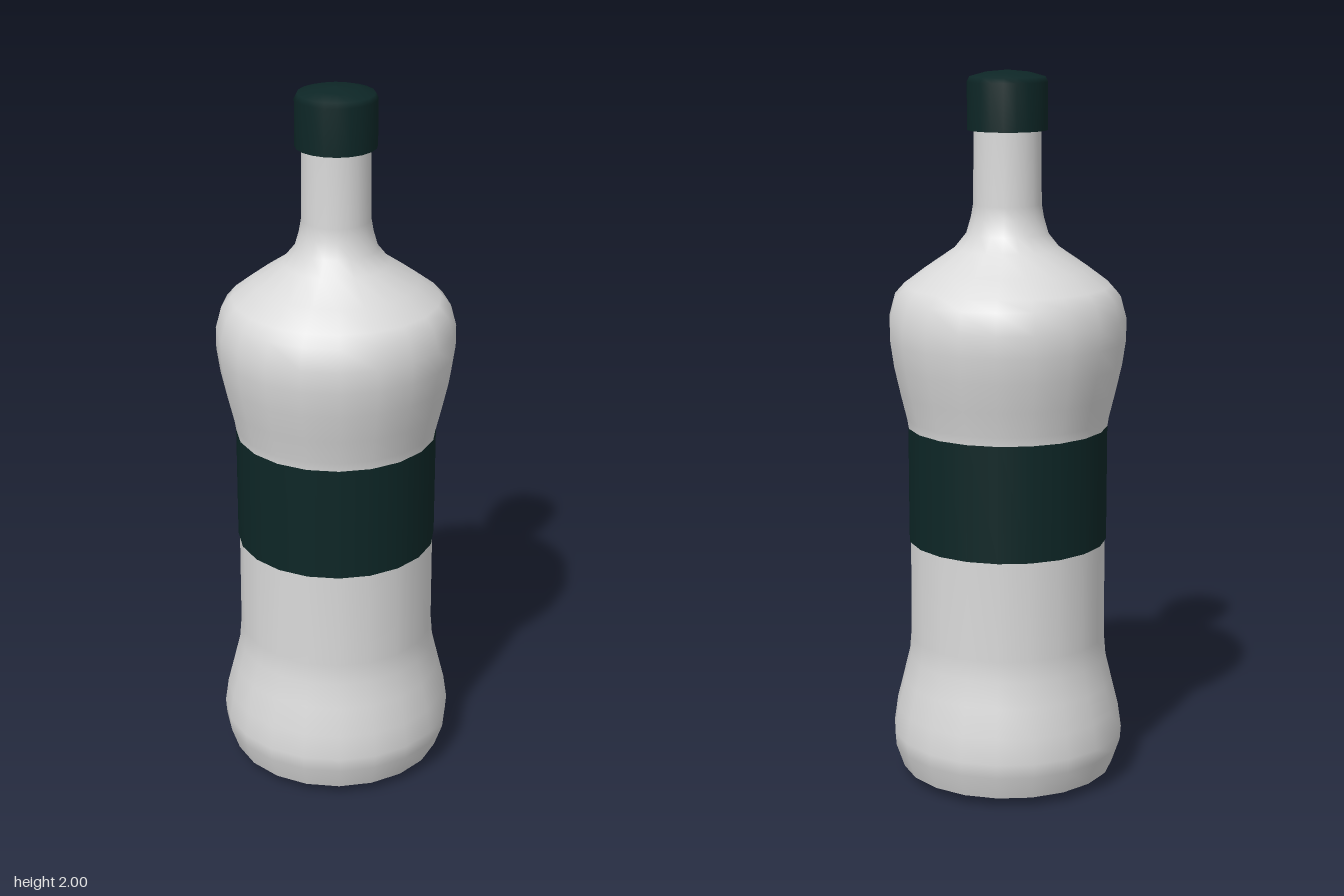
import * as THREE from 'three';

const SIDES = 20;

export function createModel() {
  const bottle = new THREE.Group();
  bottle.name = 'bottle';

  const glass = new THREE.MeshStandardMaterial({ color: 0xd9d9d9 });
  glass.name = 'pale grey';
  const dark = new THREE.MeshStandardMaterial({ color: 0x0d2626 });
  dark.name = 'dark green';

  // Turns a [radius, height] profile, listed from bottom to top, about the y axis
  function turn(name, material, profile) {
    const points = profile.map(([r, y]) => new THREE.Vector2(r, y));
    const mesh = new THREE.Mesh(new THREE.LatheGeometry(points, SIDES), material);
    mesh.name = name;
    bottle.add(mesh);
  }

  // Slightly domed underside, creased where it meets the wall
  turn('base', glass, [[0, 0.005], [0.22, 0.01], [0.302, 0.033]]);

  // Wall with a bulging foot, straight waist, round shoulder and slim neck
  turn('body', glass, [
    [0.302, 0.033], [0.325, 0.1], [0.328, 0.14], [0.318, 0.21], [0.298, 0.29],
    [0.281, 0.36], [0.276, 0.42], [0.275, 0.7], [0.275, 1.0], [0.283, 1.05],
    [0.3, 1.12], [0.318, 1.2], [0.328, 1.27], [0.328, 1.33], [0.312, 1.39],
    [0.285, 1.42], [0.225, 1.465], [0.145, 1.52], [0.113, 1.56], [0.1, 1.605],
    [0.094, 1.64], [0.092, 1.85],
  ]);

  // Wrapped label
  turn('label', dark, [[0.274, 0.7], [0.279, 0.7]]);
  turn('label', dark, [[0.279, 0.7], [0.279, 1.045]]);
  turn('label', dark, [[0.279, 1.045], [0.274, 1.045]]);

  // Cap with a softly domed top and a flat rim below
  turn('capRim', dark, [[0.085, 1.84], [0.11, 1.84]]);
  turn('cap', dark, [[0.11, 1.84], [0.11, 1.968], [0.103, 1.982], [0.06, 1.994], [0, 2]]);

  return bottle;
}
